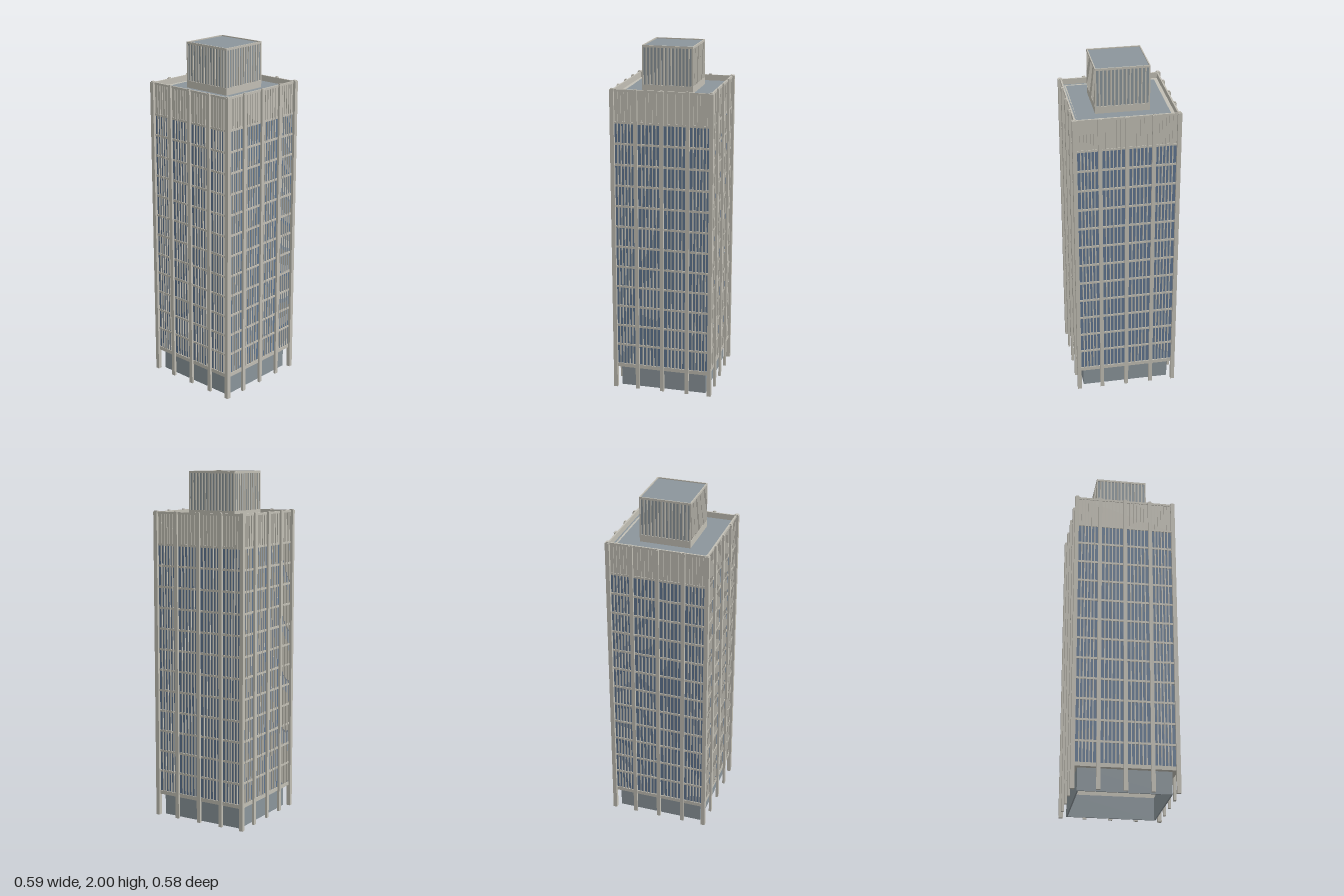
import * as THREE from 'three';

const mat = (name, color) => {
  const m = new THREE.MeshStandardMaterial({ color });
  m.name = name;
  return m;
};

export function createModel() {
  const tower = new THREE.Group();
  tower.name = 'tower';
  const stone = mat('pale stone', 0xc2bfb5);
  const glass = mat('blue glass', 0x5f7590);
  const slate = mat('grey slate', 0x8b959b);

  const add = (parent, name, geometry, material, x = 0, y = 0, z = 0) => {
    const mesh = new THREE.Mesh(geometry, material);
    mesh.name = name;
    mesh.position.set(x, y, z);
    parent.add(mesh);
    return mesh;
  };
  // Box given by its centre in x and z and its bottom and top in y
  const box = (parent, name, material, w, y0, y1, d, x = 0, z = 0) =>
    add(parent, name, new THREE.BoxGeometry(w, y1 - y0, d), material, x, (y0 + y1) / 2, z);
  // Hollow rectangular ring of walls, open above and below
  const ring = (name, material, hx, hz, t, y0, y1) => {
    const rect = (path, a, b) => path.moveTo(-a, -b).lineTo(a, -b).lineTo(a, b).lineTo(-a, b).closePath();
    const shape = rect(new THREE.Shape(), hx, hz);
    shape.holes.push(rect(new THREE.Path(), hx - t, hz - t));
    const g = new THREE.ExtrudeGeometry(shape, { depth: y1 - y0, bevelEnabled: false });
    g.rotateX(-Math.PI / 2);
    return add(tower, name, g, material, 0, y0, 0);
  };

  const HX = 0.283, HZ = 0.28;            // outer faces of the facade
  const Y0 = 0.13, ROOF = 1.742, TOP = 1.775;
  const GLASS0 = 0.148, GLASS1 = 1.59, FLOORS = 12;

  // Shell
  ring('baseWalls', slate, 0.255, 0.252, 0.008, 0, Y0);
  ring('bodyShell', stone, HX - 0.009, HZ - 0.009, 0.02, Y0, ROOF);
  ring('glazing', glass, HX - 0.006, HZ - 0.006, 0.003, GLASS0, GLASS1);
  ring('lowerBand', stone, HX, HZ, 0.03, Y0 - 0.004, GLASS0);
  ring('upperWall', stone, HX - 0.005, HZ - 0.005, 0.004, GLASS1, TOP);
  ring('parapetRim', stone, HX, HZ, 0.008, TOP - 0.012, TOP);
  box(tower, 'mainRoof', slate, 2 * HX - 0.012, ROOF - 0.008, ROOF, 2 * HZ - 0.012);

  // Floor bands
  const pitch = (GLASS1 - GLASS0) / FLOORS;
  for (let i = 1; i <= FLOORS; i++) {
    const y = GLASS0 + i * pitch;
    ring('floorBand', stone, HX - 0.001, HZ - 0.001, 0.006, y - 0.006, y + 0.006);
  }

  // Mullions and pillars on each of the four sides
  const BAY = 0.147;
  for (let s = 0; s < 4; s++) {
    const side = new THREE.Group();
    side.name = 'facade';
    side.rotation.y = s * Math.PI / 2;
    tower.add(side);
    const face = s % 2 ? HX : HZ;
    for (let bay = -2; bay < 2; bay++) {
      const from = bay === -2 ? -0.27 : bay * BAY + 0.011;
      const to = bay === 1 ? 0.27 : (bay + 1) * BAY - 0.011;
      for (let i = 1; i <= 5; i++) {
        const x = from + (to - from) * i / 6;
        box(side, 'mullion', stone, 0.006, Y0, TOP - 0.004, 0.007, x, face - 0.0035);
      }
    }
    for (const x of [-BAY, 0, BAY]) {
      box(side, 'pillar', stone, 0.022, 0, TOP, 0.014, x, face + 0.004);
      box(side, 'pillarCap', stone, 0.015, TOP, TOP + 0.005, 0.01, x, face + 0.003);
    }
  }

  // Corner posts
  for (const sx of [-1, 1]) for (const sz of [-1, 1]) {
    box(tower, 'cornerPost', stone, 0.023, 0, TOP, 0.023, sx * 0.2835, sz * 0.2795);
    box(tower, 'cornerCap', stone, 0.018, TOP, TOP + 0.005, 0.018, sx * 0.282, sz * 0.278);
  }

  // Rooftop plant room with slatted walls
  const PX = 0.15, PZ = 0.144;
  box(tower, 'plantRoomWalls', slate, 2 * PX - 0.01, ROOF, 1.994, 2 * PZ - 0.01);
  ring('plantRoomRim', stone, PX, PZ, 0.006, 1.988, 2);
  ring('plantRoomSill', stone, PX, PZ, 0.006, ROOF, ROOF + 0.04);
  const SLATS = 14;
  for (let i = 0; i <= SLATS; i++) {
    const k = (i / SLATS) * 2 - 1;
    for (const s of [-1, 1]) {
      box(tower, 'plantRoomSlat', stone, 0.008, ROOF, 1.99, 0.007, k * (PX - 0.004), s * (PZ - 0.0035));
      box(tower, 'plantRoomSlat', stone, 0.007, ROOF, 1.99, 0.008, s * (PX - 0.0035), k * (PZ - 0.004));
    }
  }
  return tower;
}
